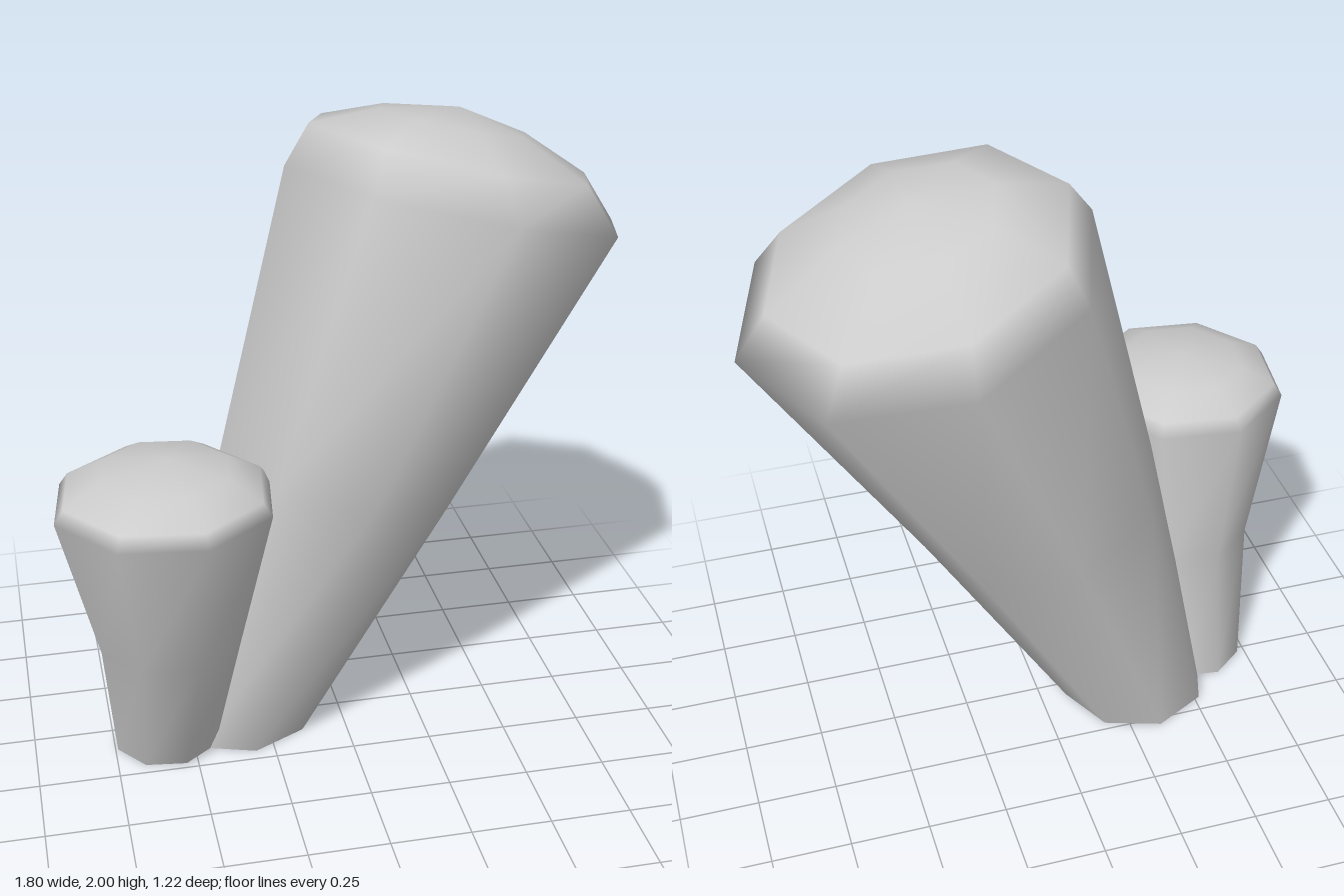
import * as THREE from 'three';

const SIDES = 8;

// Skin a stalk through tilted rings, closing it with a point at the crown.
// Ring: [x, y, z, radius, slope along x, slope along z]
function stalk(name, rings, crown, twist) {
  const positions = [], index = [];
  for (const [x, y, z, r, sx = 0, sz = 0] of rings) {
    for (let i = 0; i < SIDES; i++) {
      const a = twist + (i / SIDES) * Math.PI * 2;
      const dx = r * Math.cos(a), dz = r * Math.sin(a);
      positions.push(x + dx, y + sx * dx + sz * dz, z + dz);
    }
  }
  positions.push(...crown);
  const top = rings.length * SIDES;
  for (let k = 0; k < rings.length; k++) {
    for (let i = 0; i < SIDES; i++) {
      const a = k * SIDES + i, b = k * SIDES + (i + 1) % SIDES;
      if (k === rings.length - 1) index.push(a, top, b);
      else index.push(a, a + SIDES, b, b, a + SIDES, b + SIDES);
    }
  }
  const geometry = new THREE.BufferGeometry();
  geometry.setAttribute('position', new THREE.Float32BufferAttribute(positions, 3));
  geometry.setIndex(index);
  geometry.computeVertexNormals();
  // Open at the base, so both sides are drawn
  const mesh = new THREE.Mesh(geometry, new THREE.MeshStandardMaterial({ color: 0xcccccc, side: THREE.DoubleSide }));
  mesh.name = name;
  return mesh;
}

export function createModel() {
  const group = new THREE.Group();
  group.name = 'stalkCluster';

  // Tall stalk leaning to +x: base, middle, rim, then the domed cap
  group.add(stalk('largeStalk', [
    [-0.33, 0, -0.035, 0.245],
    [0.0, 0.85, -0.02, 0.38, -0.24, 0.13],
    [0.375, 1.72, -0.085, 0.525, -0.243, 0.13],
    [0.37, 1.85, -0.115, 0.44, -0.25, 0.12],
    [0.37, 1.94, -0.1, 0.23, -0.23, 0.12],
  ], [0.39, 1.98, -0.1], -0.08));

  // Short stalk leaning forward
  group.add(stalk('smallStalk', [
    [-0.58, 0, 0.065, 0.168],
    [-0.565, 0.46, 0.195, 0.225],
    [-0.575, 0.975, 0.285, 0.335],
    [-0.575, 1.015, 0.285, 0.307],
    [-0.57, 1.07, 0.275, 0.2],
  ], [-0.56, 1.1, 0.27], -0.26));

  return group;
}
